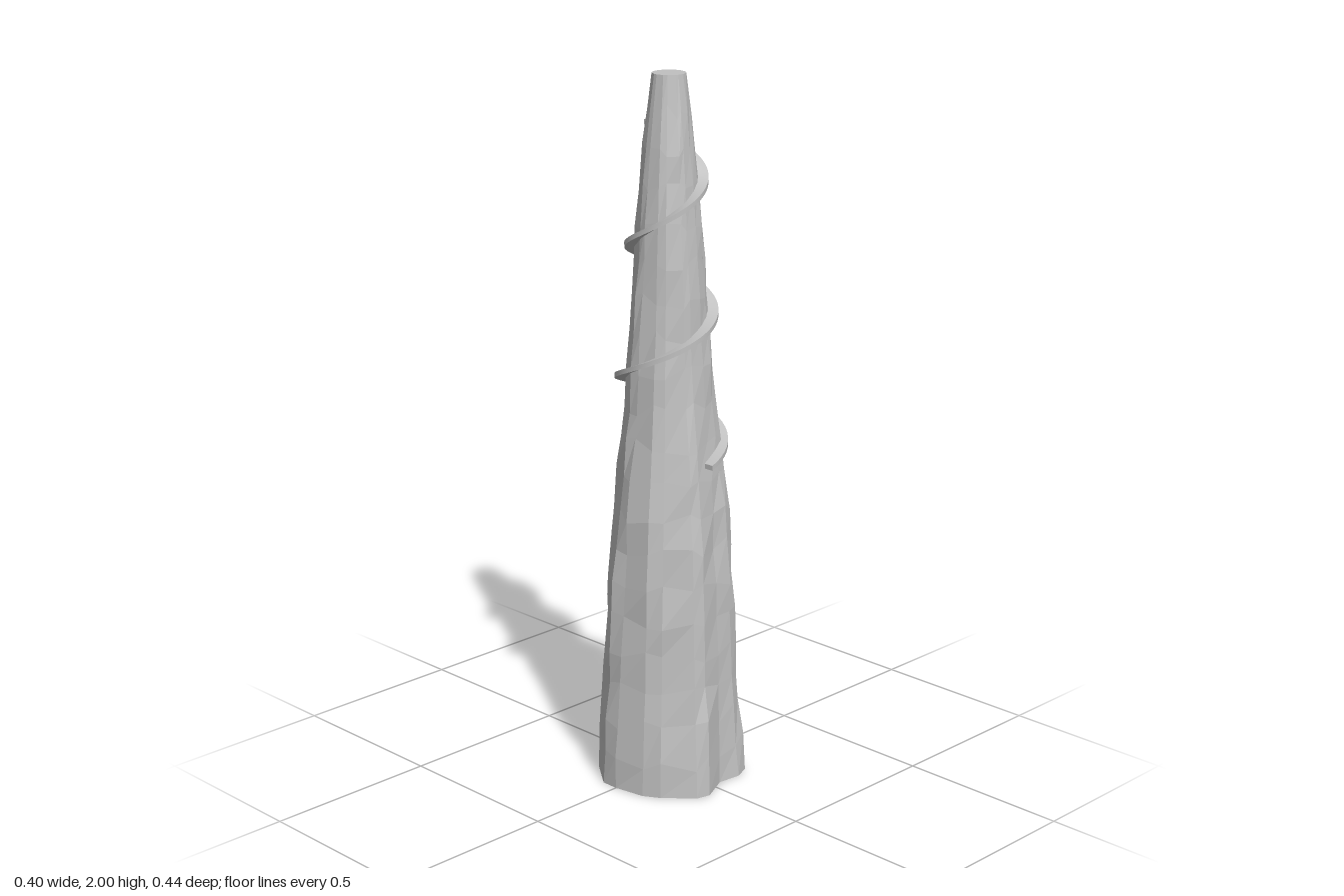
import * as THREE from 'three';

const trunkMat = new THREE.MeshStandardMaterial({ color: 0xc0c0c0 });
trunkMat.name = 'pale grey';
trunkMat.flatShading = true;
const bandMat = new THREE.MeshStandardMaterial({ color: 0xc0c0c0 });
bandMat.name = 'pale grey band';

// outline of the foot, as [x, z], running from front to +x to back to -x
const FOOT = [[0.03, 0.182], [0.1, 0.19], [0.145, 0.172], [0.165, 0.09], [0.2, 0], [0.197, -0.09],
  [0.135, -0.155], [0.055, -0.21], [-0.005, -0.222], [-0.08, -0.195], [-0.14, -0.135],
  [-0.203, -0.05], [-0.203, 0], [-0.187, 0.09], [-0.16, 0.135], [-0.09, 0.21], [-0.05, 0.22]];
// mean radius by height, as [y, r]
const TAPER = [[0, 0.2], [0.1, 0.198], [0.25, 0.185], [0.45, 0.177], [0.6, 0.17], [0.8, 0.156],
  [1, 0.133], [1.2, 0.116], [1.4, 0.102], [1.6, 0.089], [1.8, 0.071], [2, 0.046]];

function radiusAt(y) {
  const k = Math.max(1, TAPER.findIndex(p => p[0] >= y - 1e-6));
  const [y0, r0] = TAPER[k - 1], [y1, r1] = TAPER[k];
  return r0 + (r1 - r0) * (y - y0) / (y1 - y0);
}

function geometry(pos, index) {
  const g = new THREE.BufferGeometry();
  g.setAttribute('position', new THREE.Float32BufferAttribute(pos, 3));
  g.setIndex(index);
  g.computeVertexNormals();
  return g;
}

// rough tapering shaft: the foot outline fades to a circle at the tip
function trunkGeometry() {
  let seed = 11;
  const rand = () => (seed = (seed * 16807) % 2147483647) / 2147483647 - 0.5;
  const n = FOOT.length, rows = 20, pos = [], index = [];
  for (let j = 0; j <= rows; j++) {
    const t = j / rows, inner = j > 0 && j < rows;
    for (let i = 0; i < n; i++) {
      const [fx, fz] = FOOT[i];
      const a = Math.atan2(fx, fz);
      const y = 2 * t + (inner ? rand() * 0.045 : 0);
      const ridge = 1 + (Math.hypot(fx, fz) / 0.2 - 1) * Math.pow(1 - t, 1.3);
      const r = radiusAt(y) * ridge * (inner ? 1 + rand() * 0.07 : 1);
      pos.push(0.008 * Math.min(1, t * 2) + r * Math.sin(a), y, r * Math.cos(a));
    }
  }
  for (let j = 0; j < rows; j++) for (let i = 0; i < n; i++) {
    const a = j * n + i, b = j * n + (i + 1) % n;
    index.push(a, b, b + n, a, b + n, a + n);
  }
  // closed foot and tip
  const foot = pos.length / 3, tip = foot + 1;
  pos.push(0, 0, 0, 0.008, 2, 0);
  for (let i = 0; i < n; i++) {
    const k = (i + 1) % n;
    index.push(foot, k, i, tip, rows * n + i, rows * n + k);
  }
  return geometry(pos, index);
}

// rectangular band winding two and a half turns up and inwards
function bandGeometry() {
  const steps = 120, width = 0.032, height = 0.014, pos = [], index = [];
  const corner = (s, k) => {
    const t = s / steps, a = t * Math.PI * 5;
    const r = 0.167 - 0.072 * t - (k > 1 ? width : 0);
    const y = 0.932 + 0.918 * t + (k === 1 || k === 2 ? height : 0);
    return [0.008 + r * Math.sin(a), y, r * Math.cos(a)];
  };
  for (let k = 0; k < 4; k++) {
    const base = pos.length / 3;
    for (let s = 0; s <= steps; s++) pos.push(...corner(s, k), ...corner(s, (k + 1) % 4));
    for (let s = 0; s < steps; s++) {
      const a = base + s * 2;
      index.push(a, a + 2, a + 3, a, a + 3, a + 1);
    }
  }
  for (const s of [0, steps]) {
    const b = pos.length / 3;
    for (let k = 0; k < 4; k++) pos.push(...corner(s, k));
    if (s === 0) index.push(b, b + 1, b + 2, b, b + 2, b + 3);
    else index.push(b, b + 2, b + 1, b, b + 3, b + 2);
  }
  return geometry(pos, index);
}

export function createModel() {
  const group = new THREE.Group();
  const trunk = new THREE.Mesh(trunkGeometry(), trunkMat);
  trunk.name = 'shaft';
  const band = new THREE.Mesh(bandGeometry(), bandMat);
  band.name = 'spiralBand';
  group.add(trunk, band);
  return group;
}
